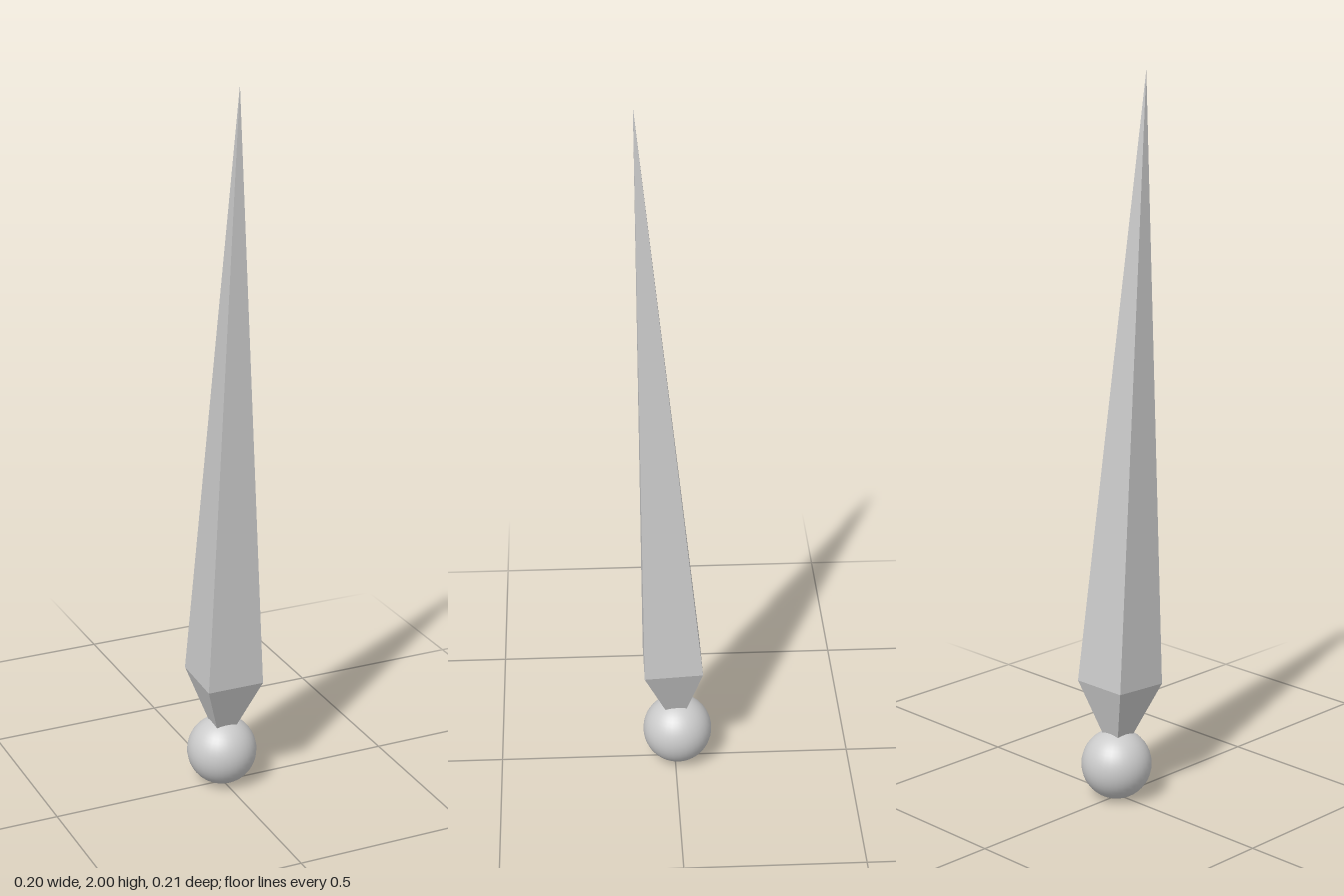
import * as THREE from 'three';

export function createModel() {
  const model = new THREE.Group();
  const material = new THREE.MeshStandardMaterial({ color: 0xcccccc });
  const flatMaterial = new THREE.MeshStandardMaterial({ color: 0xcccccc, flatShading: true });

  const radius = 0.098;      // ball joint
  const length = 1.905;      // joint centre to tip
  const shoulder = 0.236;    // height of the widest square section
  const halfWidth = 0.082;

  // Everything leans slightly forward about the joint centre
  const bone = new THREE.Group();
  bone.name = 'bone';
  bone.position.set(0, radius, -0.007);
  bone.rotation.x = 0.058;
  model.add(bone);

  // Ball at the foot
  const ball = new THREE.Mesh(new THREE.SphereGeometry(radius, 32, 24), material);
  ball.name = 'ballJoint';
  bone.add(ball);

  // Four-sided spike: an octahedron with its square section moved low and its top drawn out
  const geometry = new THREE.OctahedronGeometry(1).rotateY(Math.PI / 4);
  geometry.scale(halfWidth * Math.SQRT2, 1, halfWidth * Math.SQRT2);
  const p = geometry.attributes.position;
  for (let i = 0; i < p.count; i++) {
    const y = p.getY(i);
    p.setY(i, y > 0.5 ? length : y < -0.5 ? 0 : shoulder);
  }
  geometry.computeVertexNormals();
  const spike = new THREE.Mesh(geometry, flatMaterial);
  spike.name = 'taperedShaft';
  bone.add(spike);

  return model;
}
